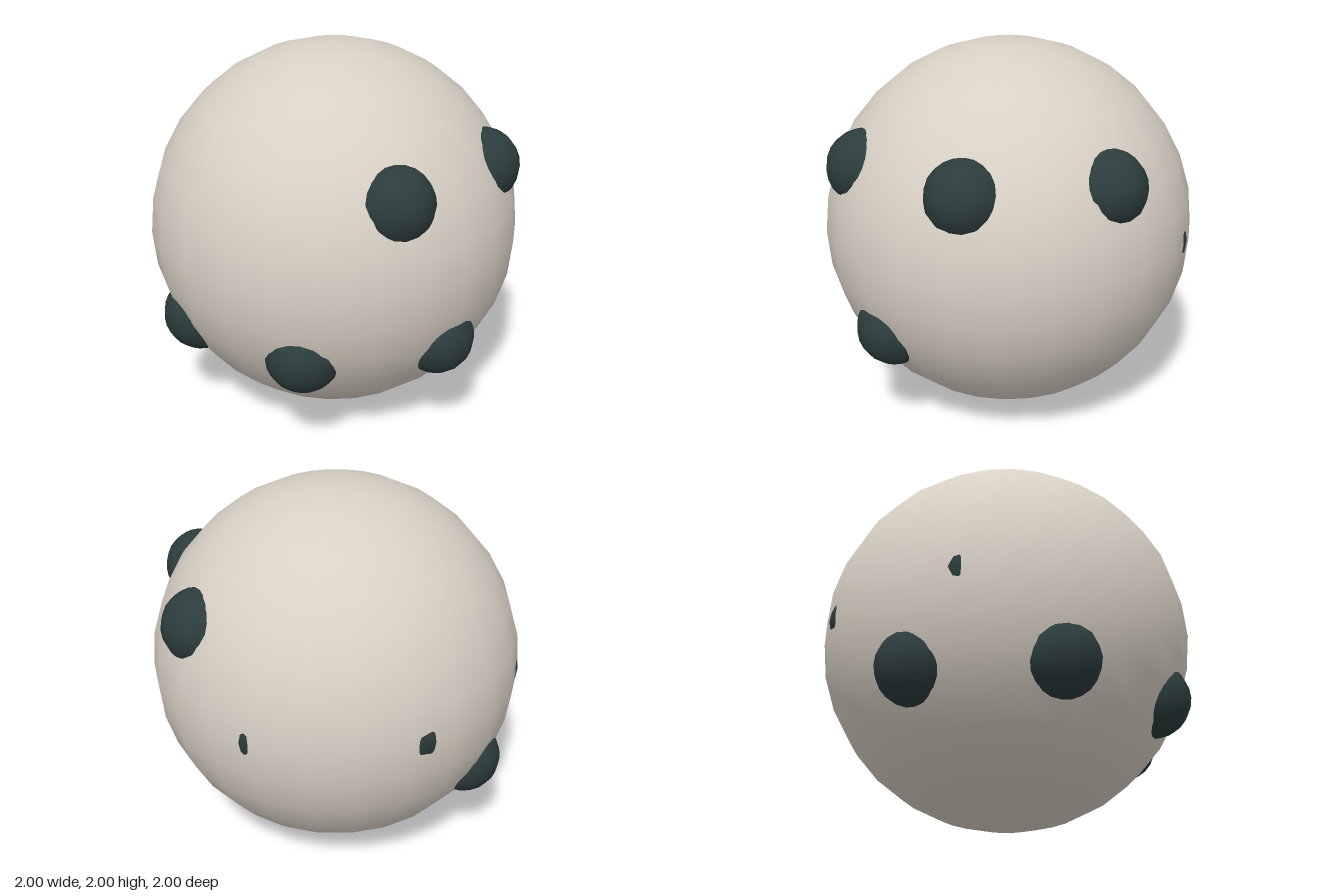
import * as THREE from 'three';

export function createModel() {
  const model = new THREE.Group();
  model.name = 'studdedBall';

  const cream = new THREE.MeshStandardMaterial({ name: 'cream', color: 0xd8d0c4 });
  const darkSlate = new THREE.MeshStandardMaterial({ name: 'darkSlate', color: 0x2c3c3c });

  // Main ball
  const ball = new THREE.Mesh(new THREE.SphereGeometry(1, 24, 16), cream);
  ball.name = 'ball';
  ball.position.y = 1;
  model.add(ball);

  // Round studs on three levels, each turned by the golden angle from the last
  const studs = new THREE.Group();
  studs.name = 'studs';
  const studGeometry = new THREE.SphereGeometry(0.2, 16, 12);
  const turn = THREE.MathUtils.degToRad(137.5);
  for (let i = 0; i < 10; i++) {
    const stud = new THREE.Mesh(studGeometry, darkSlate);
    stud.name = `stud${i + 1}`;
    stud.position.set(
      0.8 * Math.cos(i * turn),
      1 + 0.4 * ((i % 3) - 1),
      0.8 * Math.sin(i * turn)
    );
    studs.add(stud);
  }
  model.add(studs);

  return model;
}
